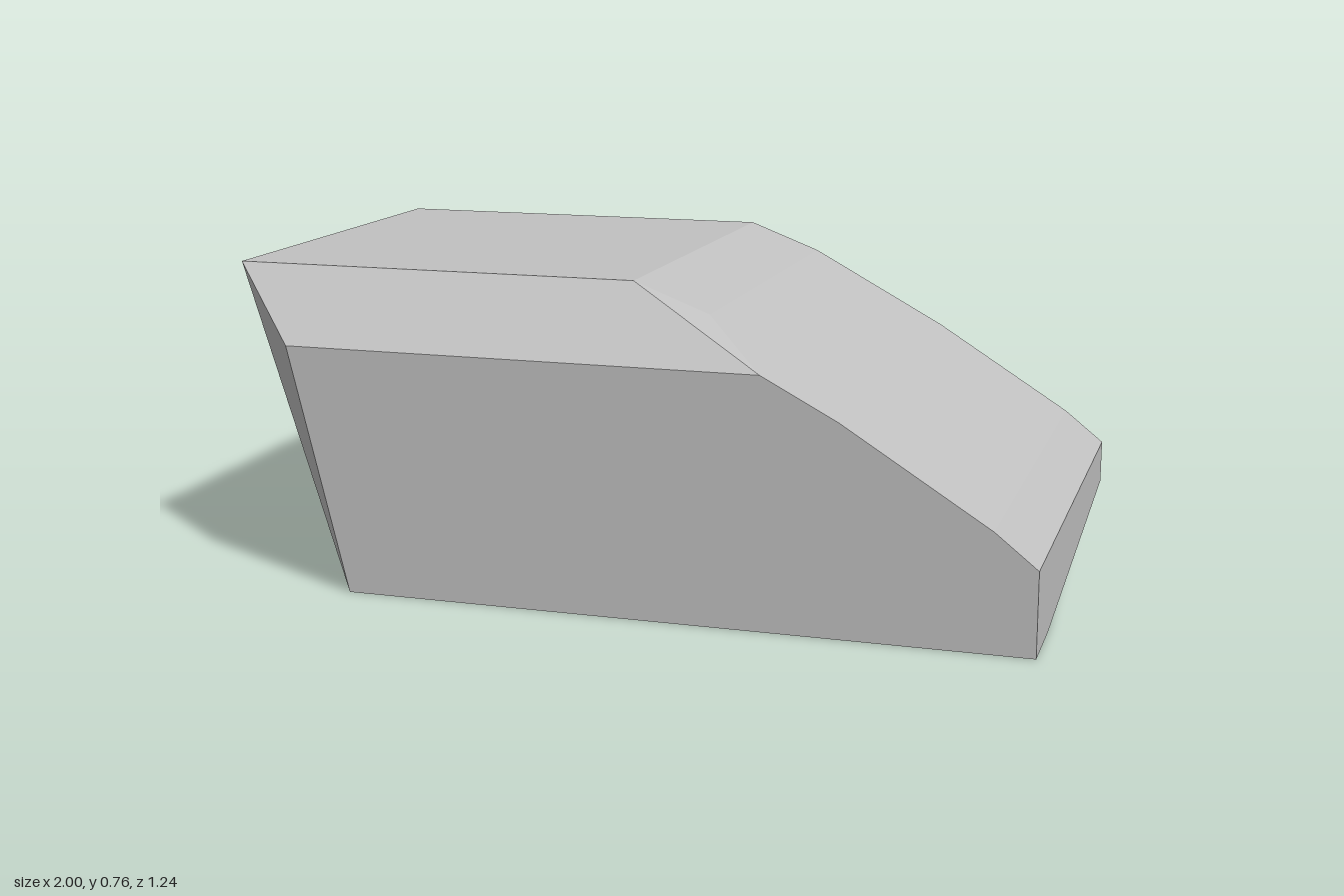
import * as THREE from 'three';

export function createModel() {
  const group = new THREE.Group();
  const grey = new THREE.MeshStandardMaterial({ color: 0xc0c0c0, flatShading: true });
  grey.name = 'plain grey';

  // Outline of one cross-section, counter-clockwise from the lower -x corner
  const section = (z, floorY, crown) => [
    [-0.645, floorY], [1, floorY], [1, 0.2], [0.9, 0.28], [0.55, 0.5], ...crown,
  ].map(([x, y]) => new THREE.Vector3(x, y, z));

  const fullCrown = [[0.2, 0.69], [0.015, 0.76], [-1, 0.76]];
  const cutCrown = [[0.37, 0.595], [0.37, 0.595], [-0.79, 0.595]];
  const sections = [
    section(-0.622, 0.092, fullCrown),
    section(0.433, 0, fullCrown),
    section(0.622, 0, cutCrown),
  ];

  const points = [];
  const n = sections[0].length;
  // Skip the zero-area triangles where the crown points merge
  const tri = (a, b, c) => {
    if (new THREE.Triangle(a, b, c).getArea() > 1e-6) points.push(a, b, c);
  };

  // Skin between neighbouring sections
  for (let i = 0; i < sections.length - 1; i++) {
    for (let j = 0; j < n; j++) {
      const k = (j + 1) % n;
      const a = sections[i][j], b = sections[i][k];
      const c = sections[i + 1][k], d = sections[i + 1][j];
      tri(a, b, c);
      tri(a, c, d);
    }
  }

  // Front and back end faces
  const back = sections[0], front = sections[sections.length - 1];
  for (let j = 1; j < n - 1; j++) {
    tri(front[0], front[j], front[j + 1]);
    tri(back[0], back[j + 1], back[j]);
  }

  const geometry = new THREE.BufferGeometry().setFromPoints(points);
  geometry.computeVertexNormals();
  const body = new THREE.Mesh(geometry, grey);
  body.name = 'wedgeBody';
  group.add(body);
  return group;
}
